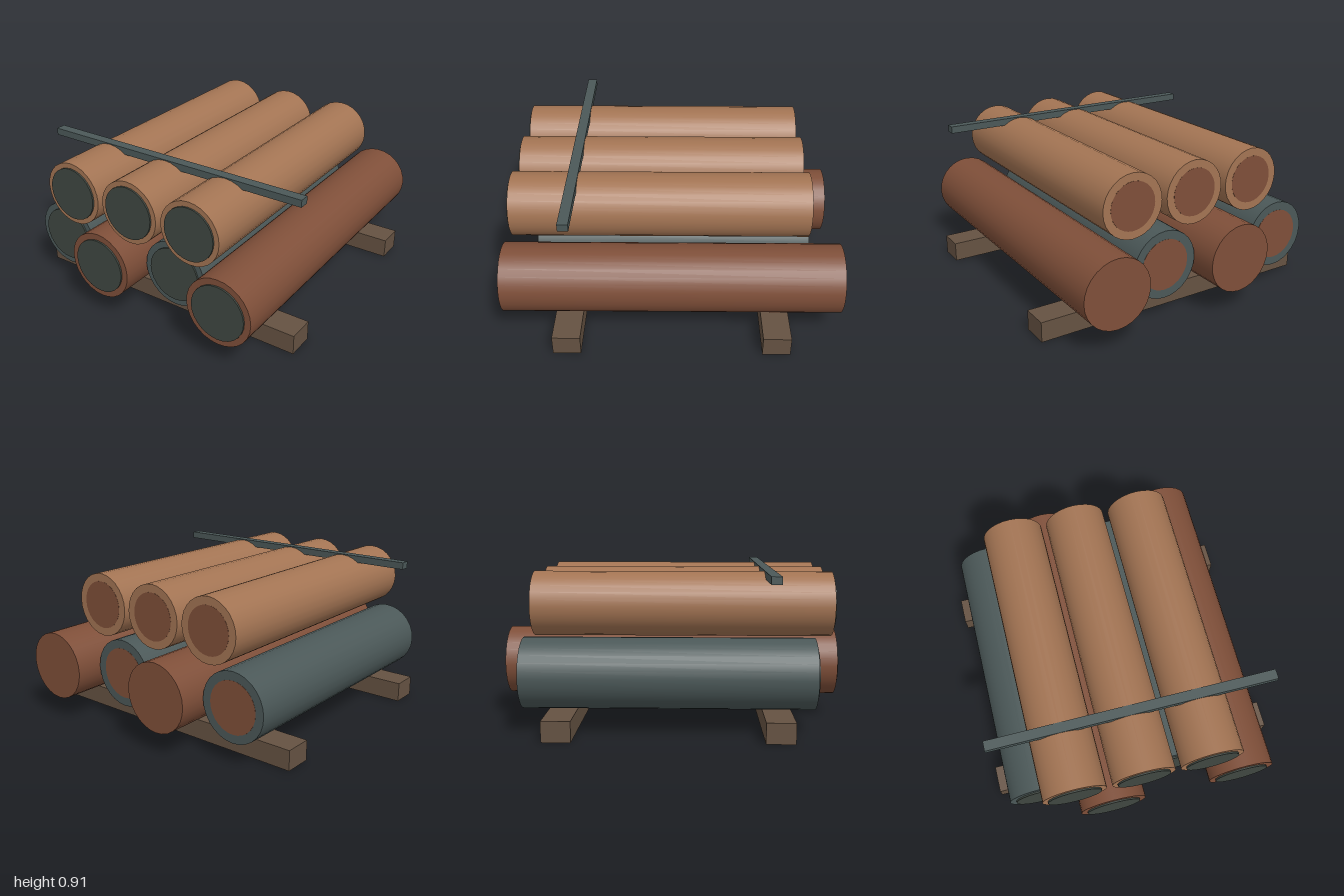
import * as THREE from 'three';

const mat = (color) => new THREE.MeshStandardMaterial({ color });

export function createModel() {
  const model = new THREE.Group();
  const rust = mat(0x7f4f39), clay = mat(0xa37453), slate = mat(0x4b5858);
  const dark = mat(0x3f4741), wood = mat(0x655242);

  const add = (parent, name, geometry, material, x, y, z) => {
    const mesh = new THREE.Mesh(geometry, material);
    mesh.name = name;
    mesh.position.set(x, y, z);
    parent.add(mesh);
  };

  // Cylinder lying along z from back to front
  const rod = (r, back, front) =>
    new THREE.CylinderGeometry(r, r, front - back, 28).rotateX(Math.PI / 2);

  // One pipe with a dark mouth in front and a rusty plug behind
  const addPipe = (name, x, y, r, mouthR, back, front, material) => {
    const pipe = new THREE.Group();
    pipe.name = name;
    pipe.position.set(x, y, 0);
    add(pipe, 'pipeBody', rod(r, back, front), material, 0, 0, (back + front) / 2);
    add(pipe, 'pipeMouth', rod(mouthR, front - 0.01, front + 0.01), dark, 0, 0, front);
    if (material !== rust) {
      add(pipe, 'pipeBackPlug', rod(r * 0.75, back - 0.001, back + 0.001), rust, 0, 0, back);
    }
    model.add(pipe);
  };

  // Lower row: short slate pipes alternate with long rusty ones
  for (let i = 0; i < 4; i++) {
    const long = i % 2 === 1;
    addPipe('lowerPipe' + (i + 1), -0.631 + i * 0.4125, 0.336, 0.205, 0.167,
      long ? -1 : -0.84, long ? 0.99 : 0.82, long ? rust : slate);
  }

  // Upper row rests in the gaps
  for (let i = 0; i < 3; i++) {
    addPipe('upperPipe' + (i + 1), -0.437 + i * 0.4125, 0.714, 0.19, 0.159, -0.805, 0.933, clay);
  }

  // Wooden bearers under the stack
  for (const [name, z] of [['frontBearer', 0.61], ['backBearer', -0.62]]) {
    add(model, name, new THREE.BoxGeometry(1.81, 0.12, 0.165), wood, 0, 0.06, z);
  }

  // Tie bar across the top
  add(model, 'tieBar', new THREE.BoxGeometry(1.735, 0.043, 0.06), slate, -0.003, 0.887, 0.572);

  return model;
}
